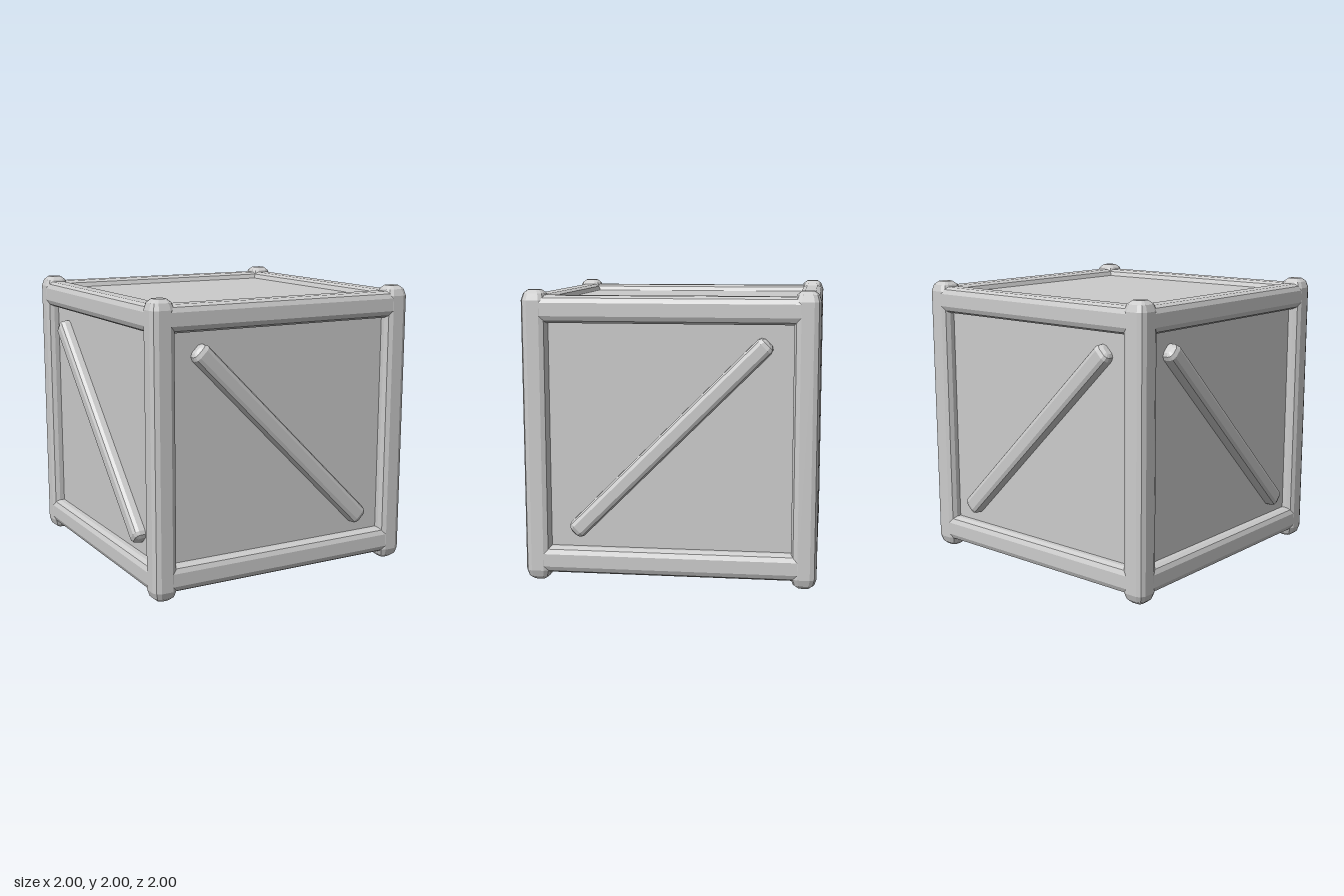
import * as THREE from 'three';

// Bevelled bar along y: rounded-square section, with domed, faceted ends.
function barGeometry(width, length, depth, bevel) {
  const section = [];
  const quarter = [[1, 0.48], [0.83, 0.83], [0.48, 1]];
  for (let q = 0; q < 4; q++) {
    for (const [a, b] of quarter) {
      const t = q * Math.PI / 2;
      section.push([a * Math.cos(t) - b * Math.sin(t), a * Math.sin(t) + b * Math.cos(t)]);
    }
  }
  const h = length / 2;
  const rings = [[-h, 0.48], [-h + bevel * 0.35, 0.83], [-h + bevel, 1],
    [h - bevel, 1], [h - bevel * 0.35, 0.83], [h, 0.48]];
  const n = section.length;
  const positions = [];
  const index = [];
  for (const [y, s] of rings) {
    for (const [x, z] of section) positions.push(x * s * width / 2, y, z * s * depth / 2);
  }
  for (let r = 0; r < rings.length - 1; r++) {
    for (let i = 0; i < n; i++) {
      const a = r * n + i, b = r * n + (i + 1) % n;
      index.push(a, a + n, b, b, a + n, b + n);
    }
  }
  const top = (rings.length - 1) * n;
  for (let i = 1; i < n - 1; i++) {
    index.push(0, i, i + 1);
    index.push(top, top + i + 1, top + i);
  }
  const indexed = new THREE.BufferGeometry();
  indexed.setAttribute('position', new THREE.Float32BufferAttribute(positions, 3));
  indexed.setIndex(index);
  const geometry = indexed.toNonIndexed();
  geometry.computeVertexNormals();
  return geometry;
}

export function createModel() {
  const model = new THREE.Group();
  model.name = 'crate';
  const grey = new THREE.MeshStandardMaterial({ color: 0xcccccc });
  grey.name = 'plain grey';

  function add(name, geometry, x, y, z, parent = model) {
    const mesh = new THREE.Mesh(geometry, grey);
    mesh.name = name;
    mesh.position.set(x, y, z);
    parent.add(mesh);
    return mesh;
  }

  // Recessed panels as one inner box
  add('panels', new THREE.BoxGeometry(1.84, 1.83, 1.84), 0, 1, 0);

  // Corner posts with domed ends
  const post = barGeometry(0.174, 2, 0.174, 0.07);
  const edge = 0.913;
  for (const x of [-edge, edge]) {
    for (const z of [-edge, edge]) add('cornerPost', post, x, 1, z);
  }

  // Horizontal rails along the top and bottom edges
  const rail = barGeometry(0.184, 1.88, 0.172, 0.05);
  rail.rotateZ(Math.PI / 2);
  for (const y of [0.145, 1.87]) {
    for (const side of [-edge, edge]) {
      add('frontBackRail', rail, 0, y, side);
      add('sideRail', rail, side, y, 0).rotation.y = Math.PI / 2;
    }
  }

  // Diagonal braces on the four upright faces
  const brace = barGeometry(0.138, 1.87, 0.13, 0.04);
  for (const side of [-0.93, 0.93]) {
    add('frontBackBrace', brace, 0, 1, side).rotation.z = Math.PI / 4;
    const sideBrace = add('sideBrace', brace, side, 1, 0);
    sideBrace.rotation.x = -Math.PI / 4;
  }
  return model;
}
